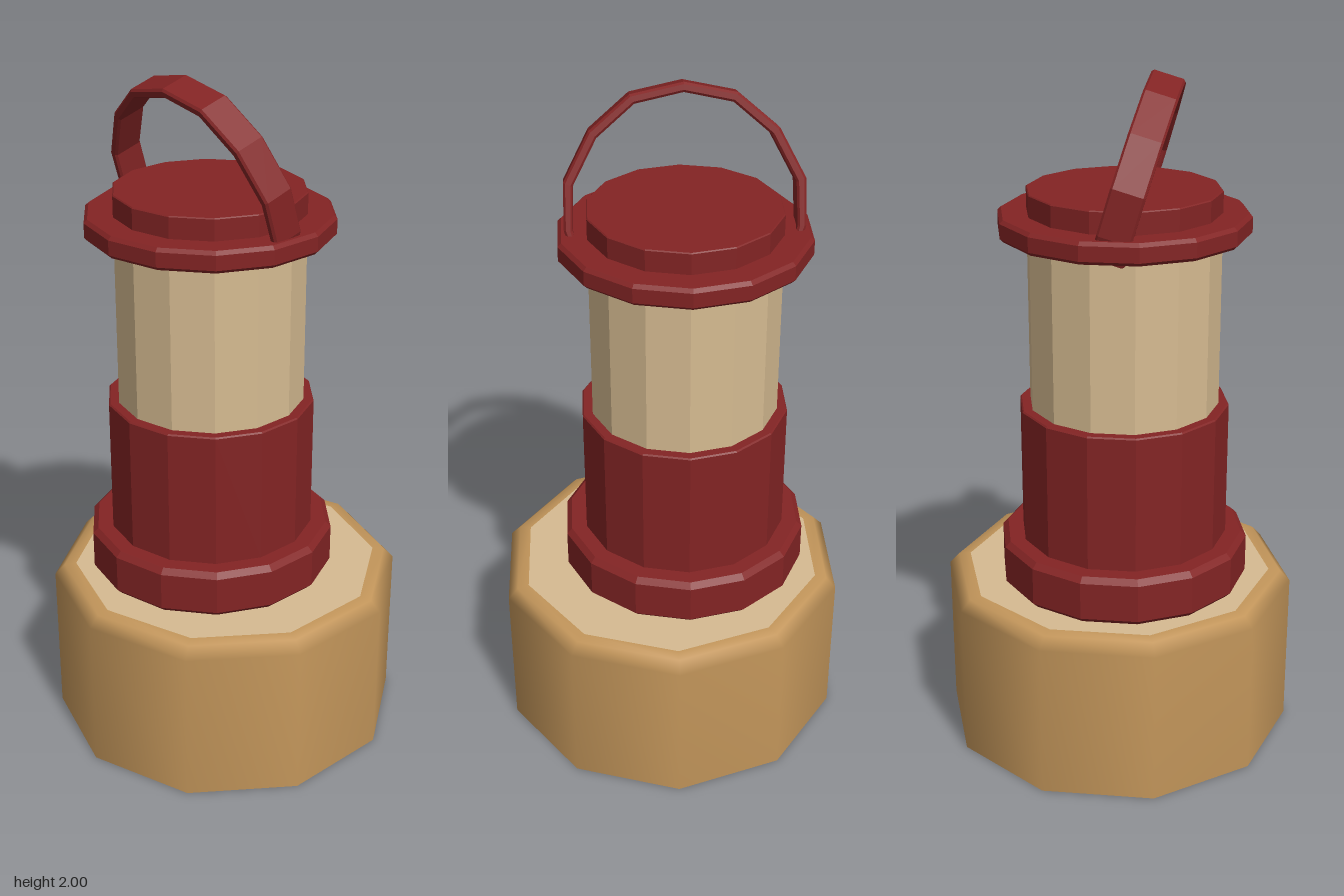
import * as THREE from 'three';

const wood = new THREE.MeshStandardMaterial({ color: 0xc2955a, side: THREE.DoubleSide });
wood.name = 'bark';
const cream = new THREE.MeshStandardMaterial({ color: 0xd6bb91, side: THREE.DoubleSide });
cream.name = 'cream';
const red = new THREE.MeshStandardMaterial({ color: 0x832424 });
red.name = 'red enamel';

function add(group, name, geometry, material) {
  const mesh = new THREE.Mesh(geometry, material);
  mesh.name = name;
  group.add(mesh);
  return mesh;
}

// Turned part from [radius, height] pairs, with a corner pointing along x
function turned(profile, sides, faceted) {
  const points = profile.map(([r, y]) => new THREE.Vector2(r, y));
  let geometry = new THREE.LatheGeometry(points, sides).rotateY(Math.PI / 2);
  if (faceted) {
    geometry = geometry.toNonIndexed();
    geometry.computeVertexNormals();
  }
  return geometry;
}

// Closed faceted drum with small bevels on both rims
function drum(radius, bottom, top, bevel) {
  return turned([
    [0, bottom], [radius - bevel, bottom], [radius, bottom + bevel],
    [radius, top - bevel], [radius - bevel, top], [0, top],
  ], 14, true);
}

// Flat strap bent into an arch, standing on y = 0
function handleGeometry() {
  const outer = [[0.307, 0], [0.33, 0.07], [0.328, 0.2], [0.257, 0.335], [0.145, 0.43], [0, 0.46]];
  const inner = [[0, 0.433], [0.132, 0.405], [0.235, 0.317], [0.302, 0.19], [0.306, 0.07], [0.287, 0]];
  const mirror = (list) => list.map(([z, y]) => [-z, y]).reverse();
  const outline = [
    ...outer, ...mirror(outer).slice(1),
    ...mirror(inner), ...inner.slice(1),
  ];
  // The inner apex is shared by both halves
  const unique = outline.filter((p, i) => i === 0 || Math.hypot(p[0] - outline[i - 1][0], p[1] - outline[i - 1][1]) > 1e-6);
  const shape = new THREE.Shape(unique.map(([z, y]) => new THREE.Vector2(z, y)));
  const width = 0.095, bevel = 0.006;
  const geometry = new THREE.ExtrudeGeometry(shape, {
    depth: width - 2 * bevel, bevelEnabled: true, bevelSegments: 1,
    bevelSize: bevel, bevelThickness: bevel, bevelOffset: -bevel,
  });
  geometry.translate(0, 0, bevel - width / 2);
  return geometry.rotateY(Math.PI / 2);
}

export function createModel() {
  const model = new THREE.Group();
  model.name = 'lanternOnStump';

  // Hollow ten-sided stump with a pale cut top
  const stump = new THREE.Group();
  stump.name = 'stump';
  model.add(stump);
  add(stump, 'stumpBark', turned([[0.525, 0], [0.525, 0.465], [0.495, 0.497], [0.46, 0.5]], 10, false), wood);
  const cut = new THREE.CircleGeometry(0.46, 10).rotateX(-Math.PI / 2).translate(0, 0.5, 0);
  add(stump, 'stumpTop', cut, cream);

  // Lantern, standing slightly off the stump's centre
  const lantern = new THREE.Group();
  lantern.name = 'lantern';
  lantern.position.set(-0.022, 0, -0.042);
  model.add(lantern);
  add(lantern, 'lanternFoot', drum(0.367, 0.502, 0.645, 0.016), red);
  add(lantern, 'lanternBody', drum(0.305, 0.64, 1.05, 0.004), red);
  add(lantern, 'lanternGlass', turned([[0.275, 1.045], [0.275, 1.56]], 14, true), cream);
  add(lantern, 'lanternRim', drum(0.357, 1.55, 1.612, 0.01), red);
  add(lantern, 'lanternLid', drum(0.275, 1.605, 1.675, 0.003), red);

  // Carrying handle, tipped to one side
  const handle = add(lantern, 'handle', handleGeometry(), red);
  handle.position.set(0.01, 1.545, 0);
  handle.rotation.z = THREE.MathUtils.degToRad(16.5);

  return model;
}
